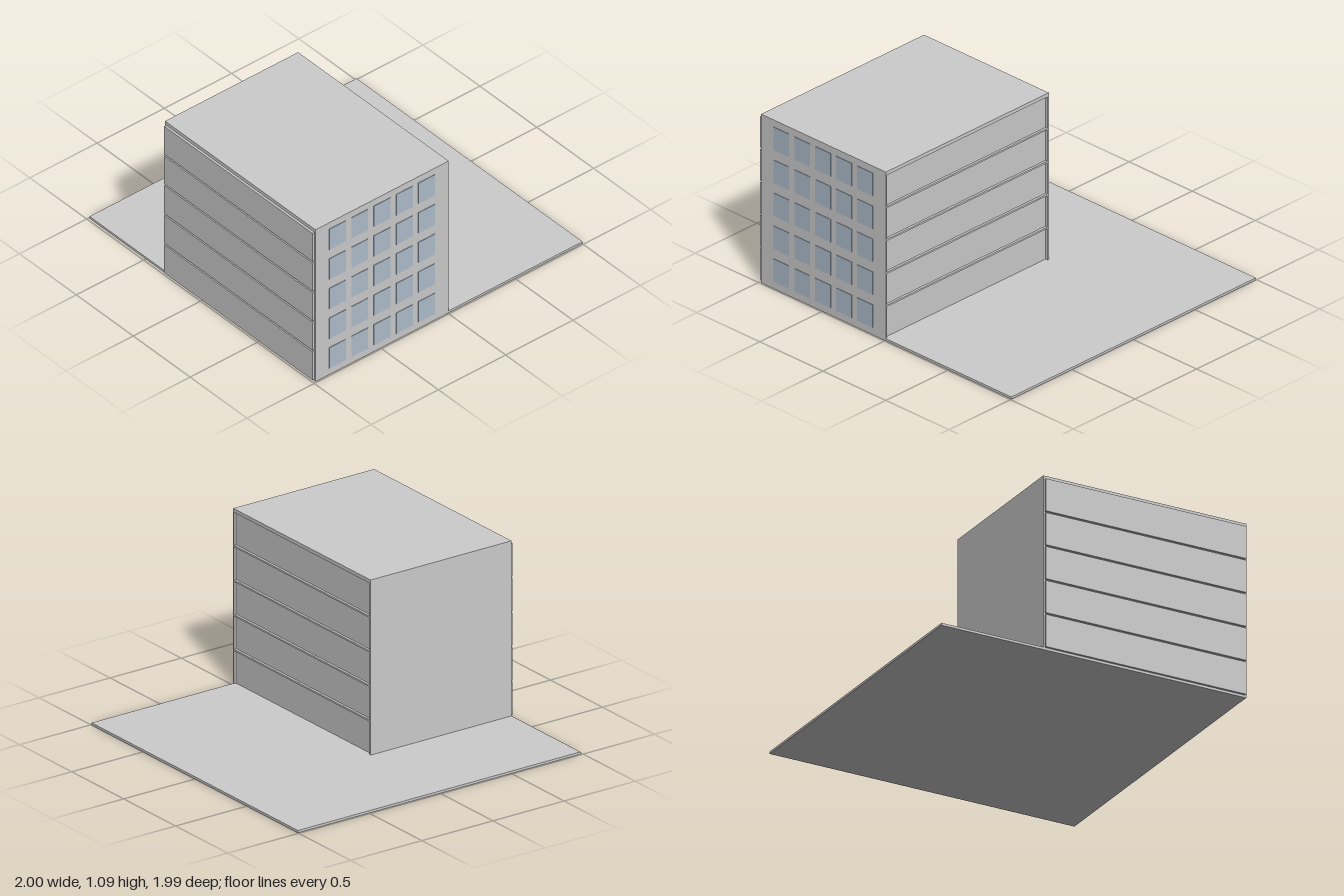
import * as THREE from 'three';

export function createModel() {
  const model = new THREE.Group();
  const concrete = new THREE.MeshStandardMaterial({ name: 'concrete grey', color: 0xcccccc });
  const glass = new THREE.MeshStandardMaterial({ name: 'window blue', color: 0xaebdcc });

  function box(name, material, x0, x1, y0, y1, z0, z1, parent = model) {
    const mesh = new THREE.Mesh(new THREE.BoxGeometry(x1 - x0, y1 - y0, z1 - z0), material);
    mesh.position.set((x0 + x1) / 2, (y0 + y1) / 2, (z0 + z1) / 2);
    mesh.name = name;
    parent.add(mesh);
  }

  const west = -0.985, east = 0.005, back = -0.33, front = 0.993;
  const floors = 5, storey = 0.2125, shift = 0.015;

  // Ground slab
  box('groundSlab', concrete, west, 1, 0, 0.015, -0.993, 0.993);

  // Building frame: side profile with one opening per storey, run across the width
  const rect = (path, z0, z1, y0, y1) => {
    path.moveTo(-z1, y0);
    path.lineTo(-z0, y0);
    path.lineTo(-z0, y1);
    path.lineTo(-z1, y1);
    path.closePath();
    return path;
  };
  const profile = rect(new THREE.Shape(), back, front, 0.003, 1.09);
  const storeys = new THREE.Group();
  storeys.name = 'storeys';
  for (let i = 0; i < floors; i++) {
    const y0 = 0.015 + i * storey, y1 = y0 + 0.202;
    profile.holes.push(rect(new THREE.Path(), back + 0.01, front - 0.008, y0, y1));
    // Storey block, proud of the frame on one side and recessed on the other
    box('storeyBlock', concrete, west - shift, east - shift, y0, y1, back + 0.01, front - 0.008, storeys);
  }
  model.add(storeys);

  const frame = new THREE.Mesh(
    new THREE.ExtrudeGeometry(profile, { depth: east - west, bevelEnabled: false }), concrete);
  frame.rotation.y = Math.PI / 2;
  frame.position.x = west;
  frame.name = 'buildingFrame';
  model.add(frame);

  // Front windows, thin plates in a five by five grid
  const windows = new THREE.Group();
  windows.name = 'windows';
  for (let row = 0; row < floors; row++) {
    for (let col = 0; col < 5; col++) {
      const x = -0.885 + col * 0.166, y = 0.048 + row * 0.2125;
      box('window', glass, x, x + 0.123, y, y + 0.147, front - 0.002, front + 0.003, windows);
    }
  }
  model.add(windows);

  return model;
}
